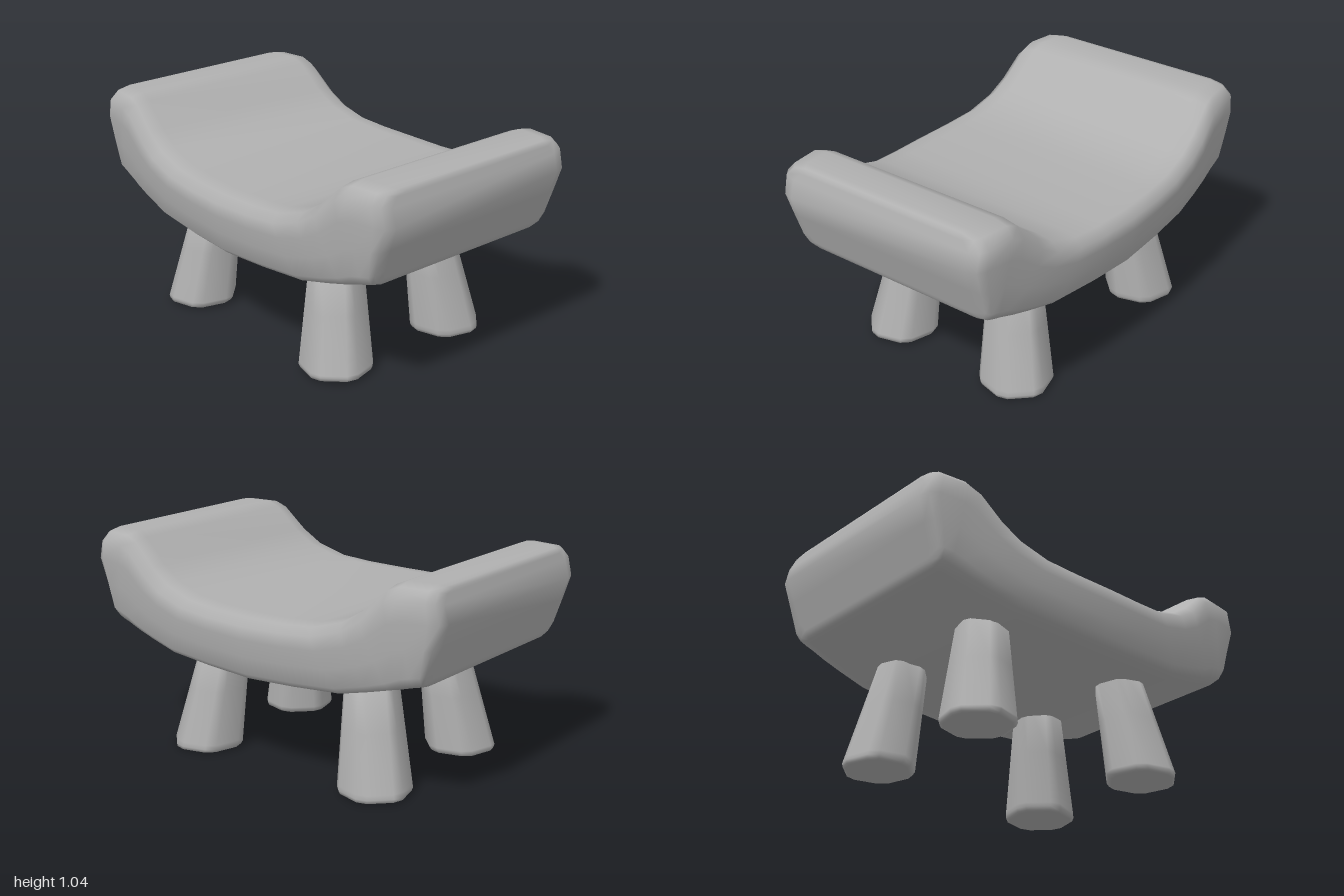
import * as THREE from 'three';

const stone = new THREE.MeshStandardMaterial({ color: 0xb0b0b0 });
stone.name = 'greyStone';

// Skin a list of equal-length closed rings (arrays of [x, y, z]) and close both ends with strips.
function loft(rings) {
  const n = rings[0].length;
  const index = [];
  for (let i = 0; i < rings.length - 1; i++) {
    for (let j = 0; j < n; j++) {
      const a = i * n + j, d = i * n + (j + 1) % n;
      index.push(a, d, a + n, a + n, d, d + n);
    }
  }
  const last = (rings.length - 1) * n;
  for (let j = 0; j < n / 2 - 1; j++) {
    const p = j, p2 = j + 1, q = n - 1 - j, q2 = n - 2 - j;
    index.push(last + p, last + p2, last + q, last + q, last + p2, last + q2);
    index.push(p, q, p2, q, q2, p2);
  }
  const geo = new THREE.BufferGeometry();
  geo.setAttribute('position', new THREE.Float32BufferAttribute(rings.flat(2), 3));
  geo.setIndex(index);
  geo.computeVertexNormals();
  return geo;
}

// Seat stations from centre to end: bottom x, y, top x, y, outward bulge, width scale
const stations = [
  [0, 0.475, 0, 0.785, 0, 1],
  [0.25, 0.485, 0.2, 0.788, 0, 1],
  [0.5, 0.5, 0.36, 0.8, 0, 1],
  [0.65, 0.535, 0.51, 0.845, 0, 1],
  [0.75, 0.56, 0.61, 0.91, 0, 1],
  [0.82, 0.58, 0.73, 1.02, 0, 1],
  [0.86, 0.59, 0.79, 1.045, 0.01, 1],
  [0.89, 0.6, 0.925, 1.045, 0.035, 0.995],
  [0.9, 0.608, 0.955, 1.038, 0.052, 0.96],
  [0.91, 0.625, 0.965, 1.025, 0.057, 0.87],
];

// Half section: height fraction, width fraction
const section = [[1, 0.8], [0.97, 0.92], [0.87, 0.995], [0.67, 0.995],
  [0.4, 0.975], [0.13, 0.95], [0.035, 0.9], [0, 0.8]];

function seatRing([bx, by, tx, ty, bulge, scale], side) {
  const half = section.map(([v, w]) => {
    const bump = v < 0.67 ? v / 0.67 : (1 - v) / 0.33;
    const x = bx + (tx - bx) * v + bulge * bump;
    const width = (0.652 - 0.08 * Math.pow(x, 1.5)) * scale;
    return [x * side, by + (ty - by) * v, width * w];
  });
  return [...half, ...half.map(([x, y, z]) => [x, y, -z]).reverse()];
}

// Six-sided leg with softened corners, leaning outward to a wider foot
function makeLeg(sx, sz) {
  const foot = sz > 0 ? 0.01 : 0;
  const levels = [[foot, 0.88], [foot + 0.004, 0.95], [foot + 0.02, 1], [0.04, 1], [0.3, 1], [0.56, 1]];
  const rings = levels.map(([y, scale]) => {
    const t = y / 0.5;
    const r = (0.174 - 0.051 * t) * scale;
    const cx = sx * (0.51 - 0.07 * t) - 0.026;
    const cz = sz * (0.353 - 0.063 * t);
    const ring = [];
    for (let k = 0; k < 6; k++) {
      for (const soft of [-0.16, 0.16]) {
        const a = Math.PI / 4 + k * Math.PI / 3 + soft;
        ring.push([cx + sx * sz * -r * Math.cos(a) * -1, y, cz - r * Math.sin(a)]);
      }
    }
    // Mirrored legs reverse the ring so that it still winds outward
    return sx * sz < 0 ? ring.reverse() : ring;
  });
  return new THREE.Mesh(loft(rings), stone);
}

export function createModel() {
  const model = new THREE.Group();
  model.name = 'curvedStool';

  // Curved seat with raised ends
  const rings = [
    ...stations.slice(1).reverse().map((s) => seatRing(s, -1)),
    ...stations.map((s) => seatRing(s, 1)),
  ];
  const seat = new THREE.Mesh(loft(rings), stone);
  seat.name = 'seat';
  model.add(seat);

  // Four splayed legs
  for (const [sx, sideName] of [[1, 'Left'], [-1, 'Right']]) {
    for (const [sz, endName] of [[1, 'front'], [-1, 'back']]) {
      const leg = makeLeg(sx, sz);
      leg.name = `${endName}${sideName}Leg`;
      model.add(leg);
    }
  }
  return model;
}
